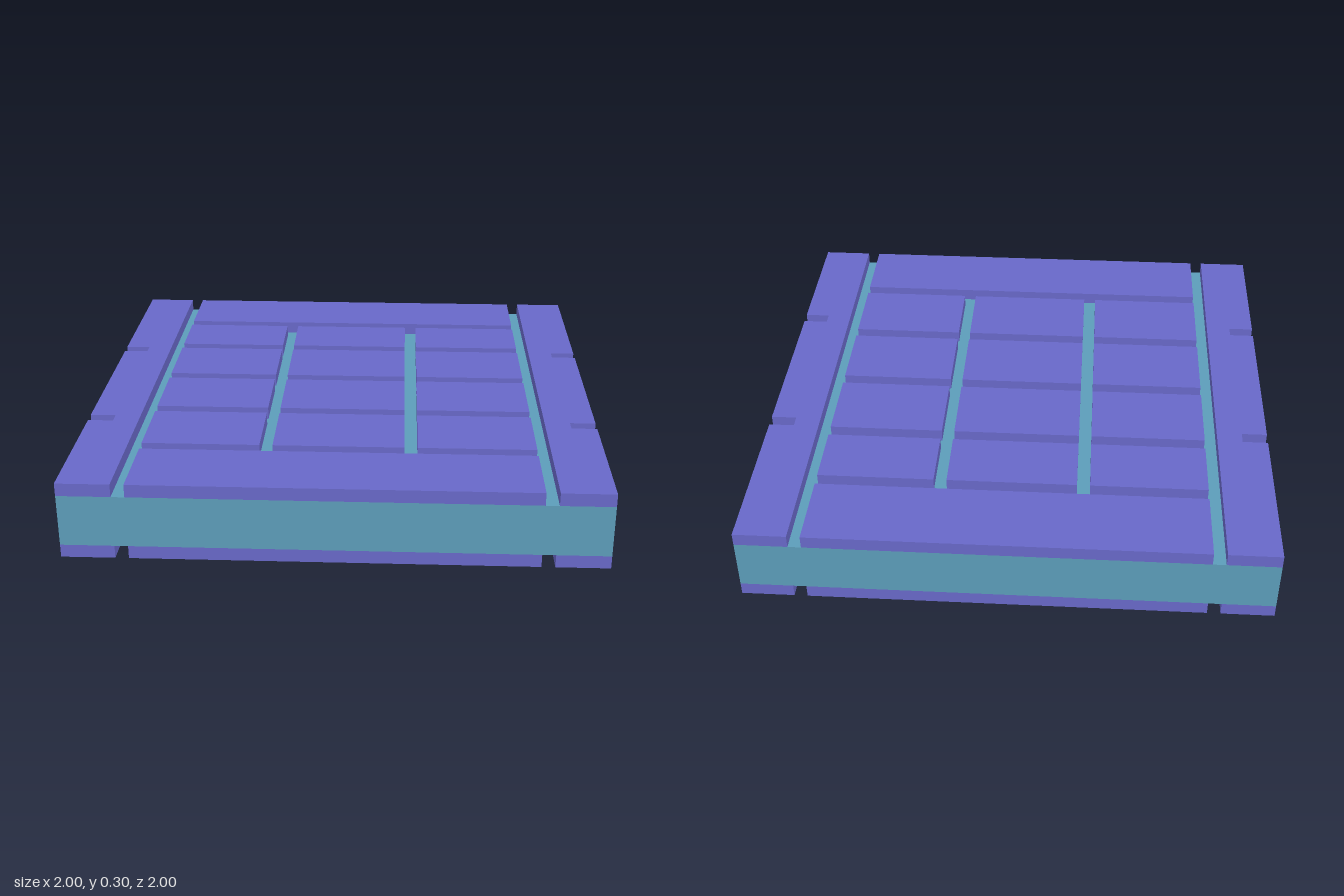
import * as THREE from 'three';

const purple = new THREE.MeshStandardMaterial({ name: 'purple', color: 0x6868c8 });
const teal = new THREE.MeshStandardMaterial({ name: 'teal', color: 0x5c9db9 });

const T = 0.05; // thickness of each raised layer

// Box from x, y and z extents
function slab(name, material, [x0, x1], [y0, y1], [z0, z1]) {
  const mesh = new THREE.Mesh(new THREE.BoxGeometry(x1 - x0, y1 - y0, z1 - z0), material);
  mesh.position.set((x0 + x1) / 2, (y0 + y1) / 2, (z0 + z1) / 2);
  mesh.name = name;
  return mesh;
}

// Side strip with two notches cut into its outer edge; side is +1 or -1
function sideStrip(side, y) {
  const outline = [
    [0.8, -1], [1, -1],
    [1, -0.35], [0.9, -0.35], [0.9, -0.3], [1, -0.3],
    [1, 0.4], [0.9, 0.4], [0.9, 0.45], [1, 0.45],
    [1, 1], [0.8, 1],
  ];
  const shape = new THREE.Shape(outline.map(([x, z]) => new THREE.Vector2(side * x, -z)));
  const geometry = new THREE.ExtrudeGeometry(shape, { depth: T, bevelEnabled: false });
  geometry.rotateX(-Math.PI / 2);
  const mesh = new THREE.Mesh(geometry, purple);
  mesh.position.y = y;
  mesh.name = side > 0 ? 'leftStrip' : 'rightStrip';
  return mesh;
}

// One raised layer: two strips, two end panels and a grid of tiles
function tileLayer(name, y) {
  const layer = new THREE.Group();
  layer.name = name;
  const ys = [y, y + T];
  layer.add(sideStrip(1, y), sideStrip(-1, y));
  layer.add(slab('backPanel', purple, [-0.75, 0.75], ys, [-1, -0.7]));
  layer.add(slab('frontPanel', purple, [-0.75, 0.75], ys, [0.7, 1]));
  const columns = [[-0.75, -0.3], [-0.25, 0.25], [0.3, 0.75]];
  const rows = [[-0.65, -0.4], [-0.35, -0.05], [0, 0.3], [0.35, 0.65]];
  for (const row of rows) {
    for (const column of columns) layer.add(slab('tile', purple, column, ys, row));
  }
  return layer;
}

export function createModel() {
  const model = new THREE.Group();
  model.name = 'tiledSlab';
  model.add(slab('core', teal, [-1, 1], [T, 0.25], [-1, 1]));
  model.add(tileLayer('topLayer', 0.25), tileLayer('bottomLayer', 0));
  return model;
}
